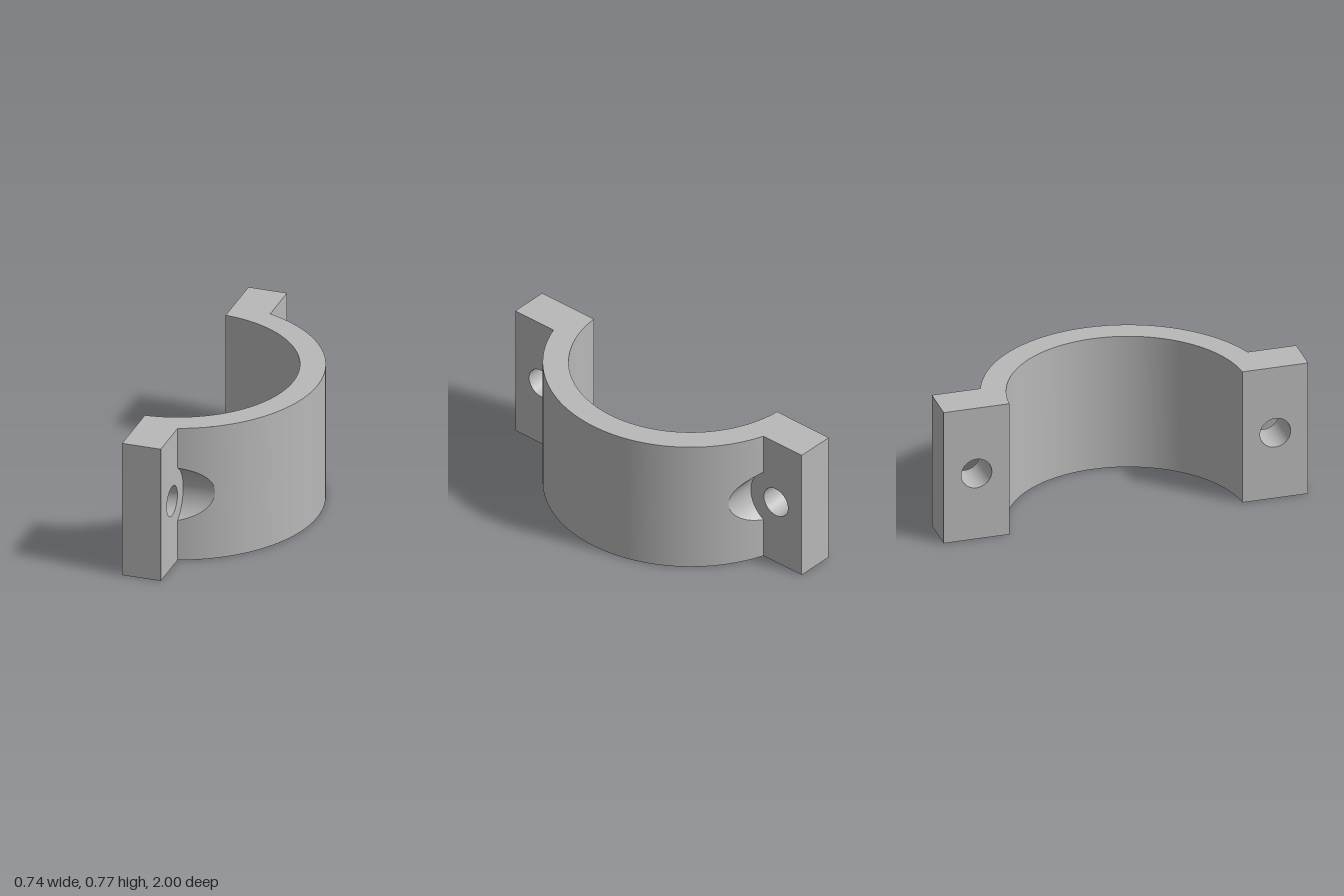
import * as THREE from 'three';

const H = 0.768, MID = H / 2;             // height and mid height
const CX = -0.409, R_OUT = 0.777, R_IN = 0.641; // ring axis and radii
const X_BACK = -0.368, X_FACE = -0.153;   // lug thickness limits
const Z_HOLE = 0.82, R_HOLE = 0.084, R_POCKET = 0.175;
const Z_FACE = Math.sqrt(R_OUT ** 2 - (X_FACE - CX) ** 2); // where the ring meets the lug
const Z_IN = Math.sqrt(R_IN ** 2 - (X_BACK - CX) ** 2);
const PHI = Math.acos((Z_HOLE - Z_FACE) / R_POCKET);       // half angle of the pocket

const v = (x, y, z) => new THREE.Vector3(x, y, z);
const sample = (n, from, to, f) =>
  Array.from({ length: n + 1 }, (_, i) => f(from + (to - from) * i / n));

// Smooth surface between two polylines of equal length
function loft(a, b) {
  const g = new THREE.BufferGeometry().setFromPoints([...a, ...b]);
  const n = a.length, index = [];
  for (let i = 0; i < n - 1; i++) {
    index.push(i, i + 1, n + i, i + 1, n + i + 1, n + i);
  }
  g.setIndex(index);
  g.computeVertexNormals();
  return g;
}

const atY = (pts, y) => pts.map(p => v(p.x, y, p.z));
const atX = (pts, x) => pts.map(p => v(x, p.y, p.z));
const circle = (r, from, to, n) =>
  sample(n, from, to, t => v(0, MID + r * Math.sin(t), Z_HOLE - r * Math.cos(t)));
const arc = (r, end, n) =>
  sample(n, 0, end, t => v(CX + r * Math.cos(t), 0, r * Math.sin(t)));

// Flat face with the bolt hole cut through it
function drilledFace(points, zSign) {
  const shape = new THREE.Shape(points);
  const hole = new THREE.Path();
  hole.setFromPoints(circle(R_HOLE, 0, Math.PI * 2, 48).map(p => new THREE.Vector2(zSign * p.z, p.y)));
  shape.holes.push(hole);
  return new THREE.ShapeGeometry(shape);
}

function buildHalf(material) {
  const half = new THREE.Group();
  const add = (name, geometry) => {
    const mesh = new THREE.Mesh(geometry, material);
    mesh.name = name;
    half.add(mesh);
  };

  // Ring walls; the outer one is notched by the pocket rim
  const onRing = p => v(CX + Math.sqrt(R_OUT ** 2 - p.z ** 2), p.y, p.z);
  const plain = arc(R_OUT, Math.asin((Z_HOLE - R_POCKET) / R_OUT), 56).slice(0, -1);
  const upperEdge = [...atY(plain, MID), ...circle(R_POCKET, 0, PHI, 24).map(onRing)];
  const lowerEdge = [...atY(plain, MID), ...circle(R_POCKET, 0, -PHI, 24).map(onRing)];
  add('outerWallUpper', loft(atY(upperEdge, H), upperEdge));
  add('outerWallLower', loft(lowerEdge, atY(lowerEdge, 0)));
  const inner = arc(R_IN, Math.acos((X_BACK - CX) / R_IN), 64);
  add('innerWall', loft(inner, atY(inner, H)));

  // Pocket for the bolt head, and the bolt hole
  const pocket = circle(R_POCKET, -PHI, PHI, 48);
  add('boltPocket', loft(pocket.map(onRing), atX(pocket, X_FACE)));
  const bore = circle(R_HOLE, 0, Math.PI * 2, 48);
  add('boltHole', loft(atX(bore, X_FACE), atX(bore, X_BACK)));

  // Lug faces
  const V2 = (x, y) => new THREE.Vector2(x, y);
  const front = drilledFace([V2(-1, 0), V2(-Z_FACE, 0), ...pocket.map(p => V2(-p.z, p.y)),
    V2(-Z_FACE, H), V2(-1, H)], -1);
  add('lugOuterFace', front.rotateY(Math.PI / 2).translate(X_FACE, 0, 0));
  const back = drilledFace([V2(Z_IN, 0), V2(1, 0), V2(1, H), V2(Z_IN, H)], 1);
  add('lugMatingFace', back.rotateY(-Math.PI / 2).translate(X_BACK, 0, 0));
  const end = [v(X_BACK, 0, 1), v(X_FACE, 0, 1)];
  add('lugEnd', loft(end, atY(end, H)));
  const side = [v(X_FACE, 0, 1), v(X_FACE, 0, Z_FACE)];

  // Cap over the whole clamp outline
  const outer = arc(R_OUT, Math.acos((X_FACE - CX) / R_OUT), 72);
  const outline = [...outer, side[0], end[0], ...inner.slice().reverse()];
  const flat = outline.map(p => V2(p.x, p.z));
  const cap = [...flat.slice(0, -1), ...inner.map(p => V2(p.x, -p.z)),
    V2(X_BACK, -1), V2(X_FACE, -1), ...outer.slice(1).reverse().map(p => V2(p.x, -p.z))];
  add('cap', new THREE.ShapeGeometry(new THREE.Shape(cap)).rotateX(-Math.PI / 2).translate(0, H, 0));
  return half;
}

export function createModel() {
  const steel = new THREE.MeshStandardMaterial({ color: 0xb8b8b8 });
  steel.name = 'grey steel';
  const model = new THREE.Group();
  model.name = 'halfClamp';

  // The second half is the first turned over about the x direction
  const frontHalf = buildHalf(steel);
  frontHalf.name = 'frontHalfAndTop';
  const backHalf = buildHalf(steel);
  backHalf.name = 'backHalfAndBottom';
  backHalf.rotation.x = Math.PI;
  backHalf.position.y = H;
  model.add(frontHalf, backHalf);
  return model;
}
